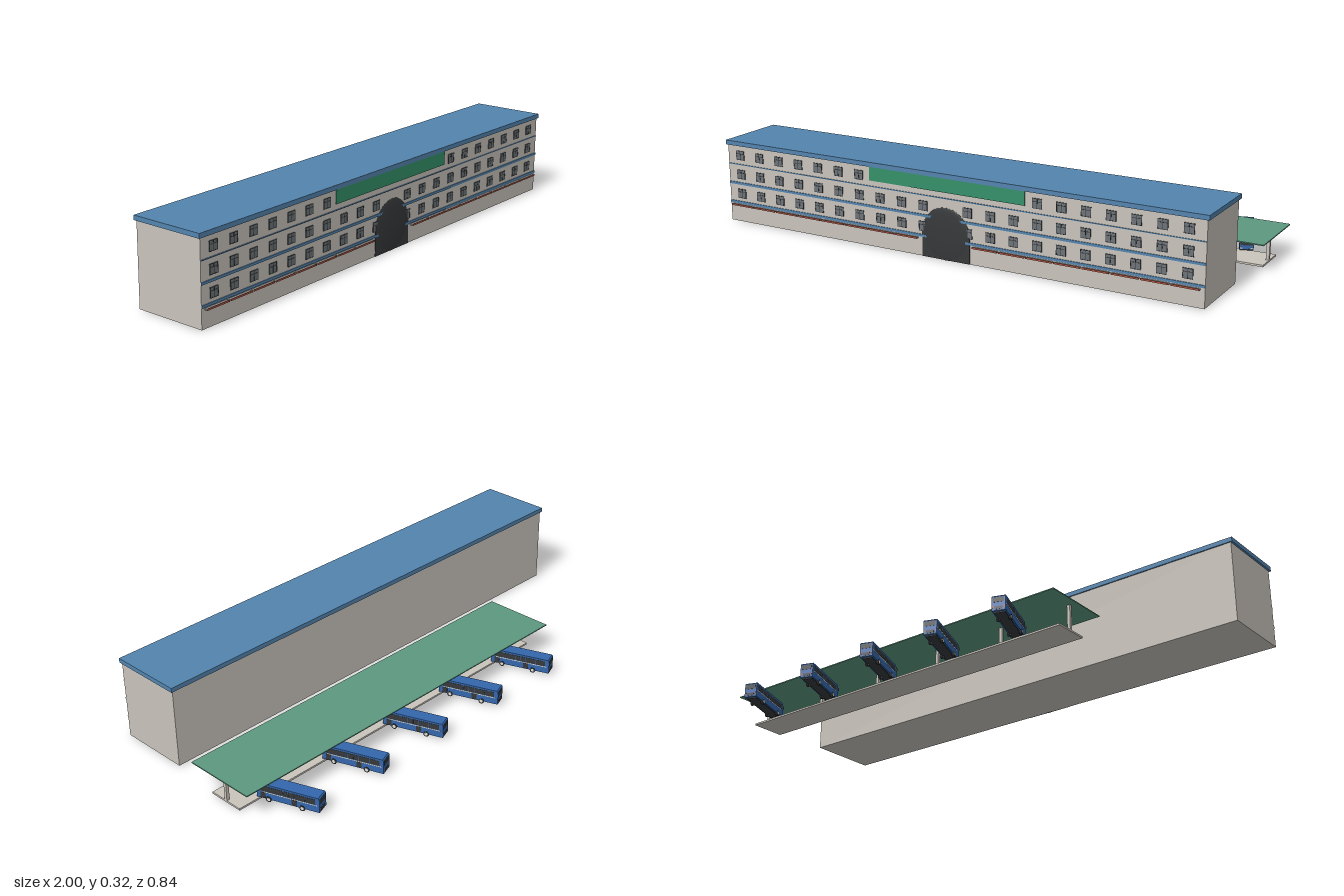
import * as THREE from 'three';

const mat = (name, color) => {
  const m = new THREE.MeshStandardMaterial({ color });
  m.name = name;
  return m;
};

export function createModel() {
  const wall = mat('wall stone', 0xc9c4bc);
  const roofBlue = mat('roof blue', 0x5384ae);
  const canopyGreen = mat('canopy green', 0x5c987f);
  const signGreen = mat('sign green', 0x349069);
  const glass = mat('window grey', 0x6c7377);
  const dark = mat('dark grey', 0x36383a);
  const busBlue = mat('bus blue', 0x3467ad);
  const white = mat('white', 0xe4e2dc);
  const red = mat('red trim', 0xb0533f);
  const grey = mat('awning grey', 0x8f9192);

  const model = new THREE.Group();

  // Box given by its lower and upper limits on each axis
  const box = (parent, name, m, x0, x1, y0, y1, z0, z1) => {
    const mesh = new THREE.Mesh(new THREE.BoxGeometry(x1 - x0, y1 - y0, z1 - z0), m);
    mesh.position.set((x0 + x1) / 2, (y0 + y1) / 2, (z0 + z1) / 2);
    mesh.name = name;
    parent.add(mesh);
    return mesh;
  };

  // Main building with its roof slab
  const building = new THREE.Group();
  building.name = 'building';
  model.add(building);
  const face = 0.404;
  box(building, 'walls', wall, -0.993, 0.953, 0.002, 0.301, 0.13, face);
  box(building, 'roof', roofBlue, -1, 0.96, 0.301, 0.318, 0.125, 0.409);

  // Horizontal bands across the facade
  for (const [y, h] of [[0.078, 0.009], [0.153, 0.009], [0.228, 0.003]]) {
    box(building, 'facadeBand', roofBlue, -0.993, 0.953, y - h / 2, y + h / 2, face, face + 0.003);
  }

  // Three rows of windows, each a pane with dark glazing bars
  const pane = new THREE.BoxGeometry(0.037, 0.036, 0.002);
  const upright = new THREE.BoxGeometry(0.002, 0.036, 0.003);
  const crossbar = new THREE.BoxGeometry(0.037, 0.002, 0.003);
  for (const y of [0.113, 0.189, 0.264]) {
    for (let i = 0; i < 21; i++) {
      const x = -0.936 + i * 0.0914;
      if (y > 0.25 && x > -0.34 && x < 0.3) continue;
      if (y < 0.2 && Math.abs(x + 0.02) < 0.06) continue;
      const win = new THREE.Group();
      win.name = 'window';
      win.position.set(x, y, face + 0.001);
      win.add(new THREE.Mesh(pane, glass));
      for (const s of [-1, 0, 1]) {
        const bar = new THREE.Mesh(upright, dark);
        bar.position.x = s * 0.0175;
        win.add(bar);
      }
      for (const h of [-0.017, 0.006, 0.017]) {
        const bar = new THREE.Mesh(crossbar, dark);
        bar.position.y = h;
        win.add(bar);
      }
      building.add(win);
    }
  }

  // Awnings either side of the entrance, edged in red
  for (const start of [-0.98, 0.093]) {
    for (let i = 0; i < 8; i++) {
      const x = start + i * 0.1065;
      box(building, 'awning', grey, x, x + 0.099, 0.066, 0.07, face, 0.417);
      box(building, 'awningTrim', red, x, x + 0.099, 0.066, 0.0725, 0.417, 0.418);
    }
  }

  // Sign panel, entrance doors and the round dome above them
  box(building, 'signPanel', signGreen, -0.34, 0.297, 0.25, 0.301, face, face + 0.004);
  box(building, 'entrance', dark, -0.118, 0.078, 0.002, 0.1, face, face + 0.002);
  const dome = new THREE.Mesh(new THREE.SphereGeometry(0.097, 32, 20), dark);
  dome.name = 'entranceDome';
  dome.scale.z = 0.06;
  dome.position.set(-0.02, 0.097, face);
  building.add(dome);

  // Platform with its posts and canopy
  const platform = new THREE.Group();
  platform.name = 'platform';
  model.add(platform);
  box(platform, 'platformSlab', wall, -0.505, 0.977, 0.002, 0.009, -0.211, -0.075);
  box(platform, 'canopy', canopyGreen, -0.532, 1, 0.103, 0.107, -0.281, -0.005);
  for (let i = 0; i < 6; i++) {
    const x = 0.971 - i * 0.294;
    box(platform, 'canopyPost', wall, x - 0.006, x + 0.006, 0.009, 0.103, -0.148, -0.137);
  }

  // One coach, front towards +z
  const makeBus = () => {
    const bus = new THREE.Group();
    bus.name = 'bus';
    const w = 0.0245, l = 0.115;
    // Rounded outline along the length
    const s = new THREE.Shape();
    s.moveTo(-l, 0.012);
    s.lineTo(l, 0.012);
    s.lineTo(l, 0.05);
    s.lineTo(l - 0.004, 0.068);
    s.lineTo(-l + 0.004, 0.068);
    s.lineTo(-l, 0.063);
    const bodyGeo = new THREE.ExtrudeGeometry(s, { depth: 2 * w, bevelEnabled: false });
    bodyGeo.translate(0, 0, -w).rotateY(-Math.PI / 2);
    const body = new THREE.Mesh(bodyGeo, busBlue);
    body.name = 'busBody';
    bus.add(body);
    for (const side of [-1, 1]) {
      const plate = (name, m, y0, y1, z0, z1, t = 0.0006) => {
        const a = side * w, b = side * (w + t);
        box(bus, name, m, Math.min(a, b), Math.max(a, b), y0, y1, z0, z1);
      };
      plate('sideWindows', dark, 0.041, 0.061, -0.1, 0.1);
      for (const z of [-0.062, -0.024, -0.002, 0.018]) {
        plate('windowPillar', busBlue, 0.041, 0.061, z - 0.0007, z + 0.0007, 0.001);
      }
      plate('sideStripe', white, 0.0365, 0.0395, -0.107, 0.097);
      if (side > 0) {
        plate('frontDoor', dark, 0.014, 0.036, 0.082, 0.101);
        plate('middleDoor', dark, 0.014, 0.036, -0.033, -0.014);
      }
      // Tyres with pale hubs
      for (const z of [0.071, -0.052]) {
        const wheel = new THREE.Group();
        wheel.name = 'wheel';
        wheel.position.set(side * (w - 0.003), 0.0125, z);
        const tyre = new THREE.Mesh(new THREE.CylinderGeometry(0.0105, 0.0105, 0.009, 16), dark);
        const hub = new THREE.Mesh(new THREE.CylinderGeometry(0.006, 0.006, 0.0104, 12), white);
        tyre.rotation.z = hub.rotation.z = Math.PI / 2;
        wheel.add(tyre, hub);
        bus.add(wheel);
      }
      // Lamps and mirrors
      box(bus, 'headlamp', white, side * 0.018 - 0.004, side * 0.018 + 0.004, 0.018, 0.022, l, l + 0.0008);
      box(bus, 'tailLamp', red, side * 0.02 - 0.002, side * 0.02 + 0.002, 0.022, 0.03, -l - 0.0008, -l);
      box(bus, 'mirror', dark, side * 0.0255 - 0.0015, side * 0.0255 + 0.0015, 0.046, 0.057, l - 0.002, l + 0.002);
    }
    box(bus, 'windscreen', dark, -0.022, 0.022, 0.03, 0.051, l, l + 0.0008);
    const upper = box(bus, 'upperWindscreen', dark, -0.022, 0.022, -0.0065, 0.0065, -0.0004, 0.0004);
    upper.position.set(0, 0.0565, l - 0.0013);
    upper.rotation.x = -Math.atan2(0.004, 0.018);
    box(bus, 'bumper', dark, -0.022, 0.022, 0.012, 0.016, l, l + 0.0008);
    box(bus, 'rearWindow', dark, -0.02, 0.02, 0.043, 0.06, -l - 0.0008, -l);
    box(bus, 'rearGrille', dark, -0.014, 0.014, 0.016, 0.027, -l - 0.0008, -l);
    box(bus, 'chassis', dark, -0.019, 0.019, 0.009, 0.012, -l + 0.01, l - 0.01);
    return bus;
  };

  // Five coaches parked at an angle
  for (let i = 0; i < 5; i++) {
    const bus = makeBus();
    bus.position.set(-0.36 + i * 0.298, 0, -0.303);
    bus.rotation.y = THREE.MathUtils.degToRad(20);
    model.add(bus);
  }

  return model;
}
